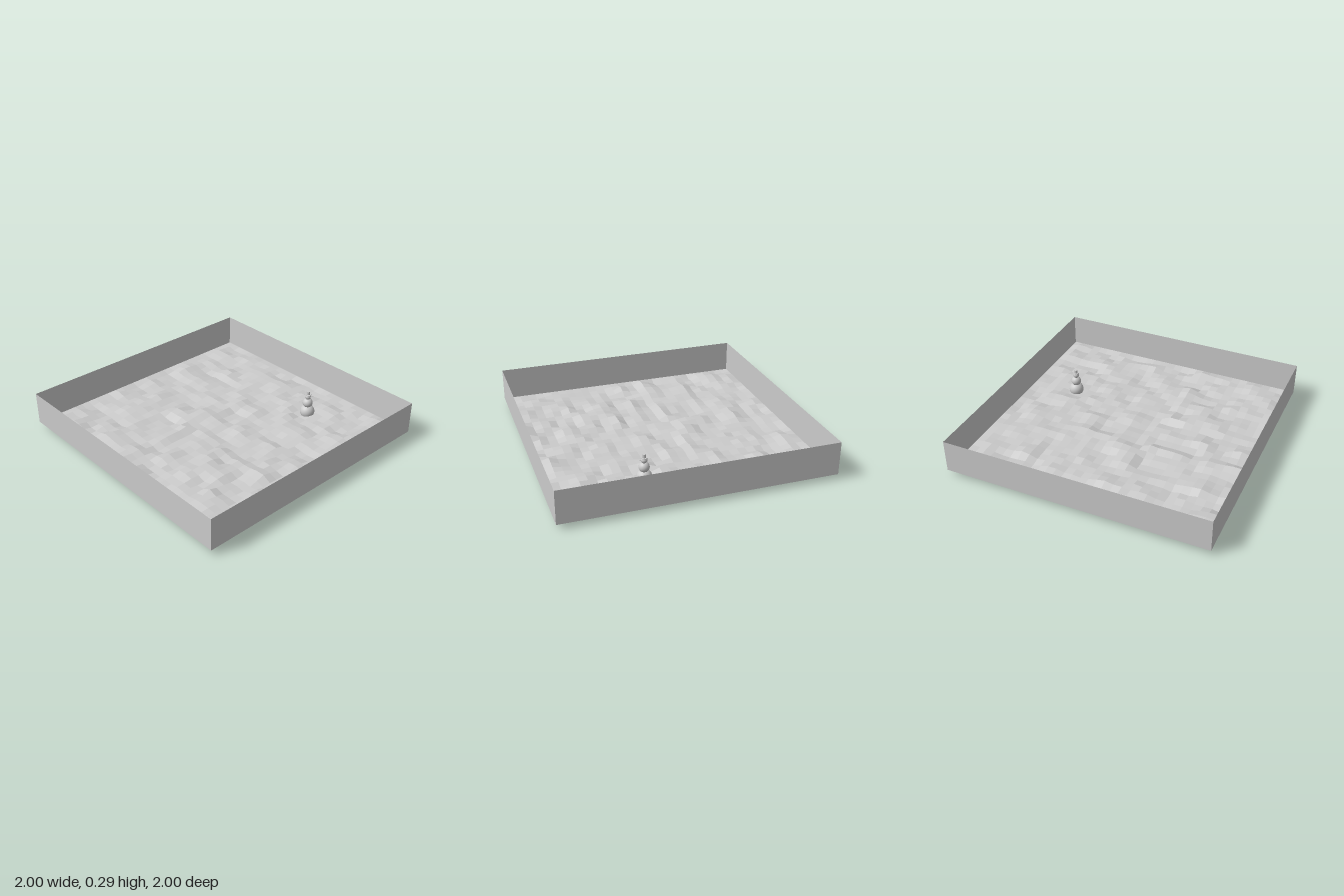
import * as THREE from 'three';

const GROUND = 0.04; // level of the ground's rim
const RIM = 0.29; // top of the walls
const CELLS = 31;

// repeatable value in -1..1 for a lattice point
function hash(i, j) {
  let h = (Math.imul(i + 101, 374761393) + Math.imul(j + 57, 668265263)) | 0;
  h = Math.imul(h ^ (h >>> 13), 1274126177);
  return (((h ^ (h >>> 16)) >>> 0) / 4294967295) * 2 - 1;
}

// smooth value noise
function noise(x, y) {
  const i = Math.floor(x), j = Math.floor(y);
  const s = (t) => t * t * (3 - 2 * t);
  const u = s(x - i), v = s(y - j);
  const a = THREE.MathUtils.lerp(hash(i, j), hash(i + 1, j), u);
  const b = THREE.MathUtils.lerp(hash(i, j + 1), hash(i + 1, j + 1), u);
  return THREE.MathUtils.lerp(a, b, v);
}

// uneven ground, level at the rim, one normal for each square cell
function groundGeometry() {
  const plane = new THREE.PlaneGeometry(2, 2, CELLS, CELLS).rotateX(-Math.PI / 2);
  const pos = plane.attributes.position;
  for (let k = 0; k < pos.count; k++) {
    const i = k % (CELLS + 1), j = Math.floor(k / (CELLS + 1));
    if (i % CELLS === 0 || j % CELLS === 0) {
      pos.setY(k, GROUND);
      continue;
    }
    const bump = 0.021 * noise(i / 2.3, j / 1.6) + 0.014 * noise(i / 1.2 + 40, j / 1.2 + 40);
    // shallow hollow around the snowman
    const hollow = 0.018 * Math.exp(-((pos.getX(k) - 0.63) ** 2 + (pos.getZ(k) - 0.3) ** 2) / 0.01);
    pos.setY(k, GROUND + THREE.MathUtils.clamp(bump - hollow, -0.035, 0.035));
  }
  const ground = plane.toNonIndexed();
  ground.computeVertexNormals();
  const normal = ground.attributes.normal;
  const a = new THREE.Vector3(), b = new THREE.Vector3();
  for (let k = 0; k < normal.count; k += 6) {
    a.fromBufferAttribute(normal, k).add(b.fromBufferAttribute(normal, k + 3)).normalize();
    for (let n = 0; n < 6; n++) normal.setXYZ(k + n, a.x, a.y, a.z);
  }
  return ground;
}

function part(name, geometry, material, y = 0) {
  const mesh = new THREE.Mesh(geometry, material);
  mesh.name = name;
  mesh.position.y = y;
  return mesh;
}

export function createModel() {
  const model = new THREE.Group();
  model.name = 'snowyTray';
  const solid = new THREE.MeshStandardMaterial({ color: 0xcccccc });
  const thin = new THREE.MeshStandardMaterial({ color: 0xcccccc, side: THREE.DoubleSide });

  model.add(part('ground', groundGeometry(), thin));

  // four thin walls around the ground
  const walls = new THREE.Group();
  walls.name = 'walls';
  for (let k = 0; k < 4; k++) {
    const panel = new THREE.PlaneGeometry(2, RIM - GROUND).translate(0, 0, 1).rotateY((k * Math.PI) / 2);
    walls.add(part('wall', panel, thin, (RIM + GROUND) / 2));
  }
  model.add(walls);

  // snowman: three stacked balls, nose and hat
  const snowman = new THREE.Group();
  snowman.name = 'snowman';
  snowman.position.set(0.63, 0, 0.3);
  const ball = (name, r, y) => snowman.add(part(name, new THREE.SphereGeometry(r, 24, 16), solid, y));
  ball('lowerBall', 0.057, 0.057);
  ball('middleBall', 0.039, 0.134);
  ball('head', 0.024, 0.188);
  const nose = new THREE.ConeGeometry(0.004, 0.02, 8).rotateX(Math.PI / 2).translate(0, 0, 0.031);
  snowman.add(part('nose', nose, solid, 0.188));
  snowman.add(part('hatBrim', new THREE.CylinderGeometry(0.024, 0.024, 0.004, 20), solid, 0.206));
  snowman.add(part('hatCrown', new THREE.CylinderGeometry(0.013, 0.014, 0.026, 20), solid, 0.221));
  model.add(snowman);
  return model;
}
